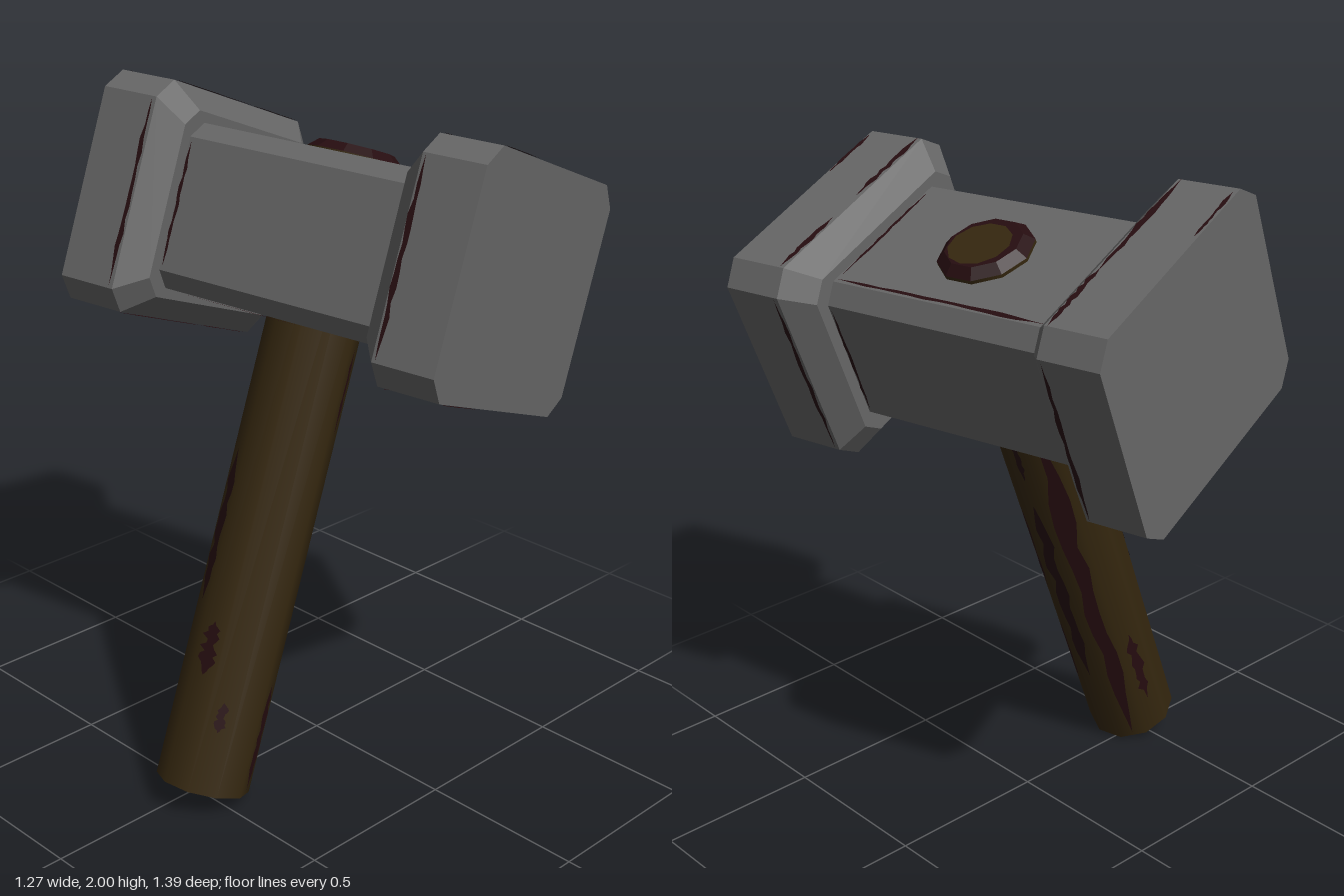
import * as THREE from 'three';

const V = (x, y, z) => new THREE.Vector3(x, y, z);
const paint = (name, color, side = THREE.FrontSide) => {
  const m = new THREE.MeshStandardMaterial({ color, side });
  m.name = name;
  return m;
};

// Loft through chamfered rectangles: each section is [halfWidth, halfHeight, chamfer, z], z ascending
function loft(sections) {
  const pos = [];
  const rings = sections.map(([w, h, c, z]) => [
    [w, -h + c], [w, h - c], [w - c, h], [-w + c, h],
    [-w, h - c], [-w, -h + c], [-w + c, -h], [w - c, -h],
  ].map(([x, y]) => [x, y, z]));
  const tri = (a, b, c) => pos.push(...a, ...b, ...c);
  for (let k = 0; k < rings.length - 1; k++) {
    for (let i = 0; i < 8; i++) {
      const j = (i + 1) % 8, a = rings[k], b = rings[k + 1];
      tri(a[i], a[j], b[j]);
      tri(a[i], b[j], b[i]);
    }
  }
  const first = rings[0], last = rings[rings.length - 1];
  for (let i = 1; i < 7; i++) {
    tri(first[0], first[i + 1], first[i]);
    tri(last[0], last[i], last[i + 1]);
  }
  const g = new THREE.BufferGeometry();
  g.setAttribute('position', new THREE.Float32BufferAttribute(pos, 3));
  g.computeVertexNormals();
  return g;
}

export function createModel() {
  const metal = paint('grey metal', 0x666666);
  const wood = paint('dark wood', 0x35270f);
  const wear = paint('maroon wear', 0x260d10, THREE.DoubleSide);

  const root = new THREE.Group();
  root.name = 'hammer';
  const add = (name, geo, mat, parent = root) => {
    const m = new THREE.Mesh(geo, mat);
    m.name = name;
    parent.add(m);
    return m;
  };

  let seed = 7;
  const rand = () => (seed = (seed * 16807) % 2147483647) / 2147483647;

  // Jagged thin streak from a to b, spreading along the given side direction
  const streak = (name, a, b, side, width) => {
    const n = 14, pos = [], idx = [];
    for (let i = 0; i <= n; i++) {
      const t = i / n, taper = Math.min(1, 5 * t, 5 * (1 - t)) * width * 0.5;
      const p = a.clone().lerp(b, t);
      const l = p.clone().addScaledVector(side, taper * (0.3 + 0.7 * rand()));
      const r = p.clone().addScaledVector(side, -taper * (0.3 + 0.7 * rand()));
      pos.push(...l.toArray(), ...r.toArray());
      if (i < n) idx.push(2 * i, 2 * i + 1, 2 * i + 2, 2 * i + 1, 2 * i + 3, 2 * i + 2);
    }
    const g = new THREE.BufferGeometry();
    g.setAttribute('position', new THREE.Float32BufferAttribute(pos, 3));
    g.setIndex(idx);
    g.computeVertexNormals();
    // Normals face away from the part's own axis
    const nrm = g.attributes.normal, q = V(0, 0, 0).crossVectors(b.clone().sub(a), side);
    const out = a.clone().add(b).multiplyScalar(0.5);
    if (V(nrm.getX(6), nrm.getY(6), nrm.getZ(6)).dot(out) < 0 && q.length() > 0) {
      g.setIndex(idx.map((_, k) => idx[k - (k % 3) + 2 - (k % 3)]));
      g.computeVertexNormals();
    }
    return add(name, g, wear);
  };

  // Handle, ten sided with smooth sides
  const R = 0.138, bottom = -0.138, top = 1.73, sides = 10;
  const handle = add('handle', new THREE.CylinderGeometry(R, R, top - bottom, sides), wood);
  handle.position.y = (top + bottom) / 2;

  // Bevelled handle end showing above the head
  const knob = add('handleEndRim', new THREE.CylinderGeometry(0.11, R, 0.025, sides).toNonIndexed(), wear);
  knob.geometry.computeVertexNormals();
  knob.position.y = top + 0.0125;
  const end = add('handleEndWood', new THREE.CircleGeometry(0.092, 11), wood);
  end.rotation.x = -Math.PI / 2;
  end.position.set(0.01, top + 0.028, 0.005);

  // Streaks on the handle: [facet, start, finish, width]
  const grain = [
    [0, -0.12, 0.2, 0.06], [0, 0.95, 1.2, 0.03], [1, 0.08, 0.36, 0.04], [1, 0.5, 0.85, 0.045],
    [2, 0.15, 0.9, 0.065], [2, 1.0, 1.22, 0.03], [3, -0.12, 1.2, 0.075], [4, 0.0, 0.3, 0.05],
    [5, 0.8, 1.1, 0.04], [6, 0.4, 0.85, 0.065], [7, 0.2, 0.36, 0.07], [8, 0.05, 0.14, 0.04],
  ];
  for (const [f, y0, y1, w] of grain) {
    const a = (f + 0.5) * 2 * Math.PI / sides, r = R * Math.cos(Math.PI / sides) + 0.003;
    const x = Math.sin(a) * r, z = Math.cos(a) * r;
    streak('handleStreak', V(x, y0, z), V(x, y1, z), V(Math.cos(a), 0, -Math.sin(a)), w);
  }

  // Head: chamfered neck with a mirrored striking block at each end
  const headY = 1.48;
  const head = new THREE.Group();
  head.name = 'head';
  head.position.y = headY;
  root.add(head);
  add('headNeck', loft([[0.28, 0.24, 0.048, -0.39], [0.28, 0.24, 0.048, 0.39]]), metal, head);
  const block = [[0.315, 0.27, 0.05, 0.37], [0.38, 0.335, 0.06, 0.44], [0.38, 0.335, 0.06, 0.63]];
  add('frontBlock', loft(block), metal, head);
  add('backBlock', loft(block.map(([w, h, c, z]) => [w, h, c, -z]).reverse()), metal, head);

  // Worn edges around both blocks, where the side meets the inner bevel
  const e = 0.003;
  for (const s of [1, -1]) {
    const z = s * 0.452, along = V(0, 0, 1);
    for (const d of [1, -1]) {
      const y = headY + d * (0.335 + e), x = d * (0.38 + e);
      streak('blockEdgeWear', V(-0.32, y, z), V(s > 0 ? -0.02 : 0.1, y, z), along, 0.024);
      streak('blockEdgeWear', V(0.08, y, z), V(0.32, y, z), along, 0.024);
      streak('blockEdgeWear', V(x, headY - 0.27, z), V(x, headY + 0.27, z), along, 0.022);
      streak('blockRimWear', V(-0.3, y, s * 0.621), V(-0.1, y, s * 0.621), along, 0.016);
    }
  }

  // Worn edges along the neck and where it meets the blocks
  streak('neckEdgeWear', V(0.222, headY + 0.243, -0.36), V(0.222, headY + 0.243, 0.36), V(1, 0, 0), 0.02);
  streak('neckEdgeWear', V(-0.225, headY - 0.243, -0.3), V(-0.225, headY - 0.243, 0.1), V(1, 0, 0), 0.018);
  for (const s of [1, -1]) {
    for (const d of [1, -1]) {
      streak('neckJointWear', V(d * 0.283, headY - 0.18, s * 0.36), V(d * 0.283, headY + 0.18, s * 0.36), V(0, 0, 1), 0.016);
    }
    streak('neckJointWear', V(-0.2, headY + 0.243, s * 0.36), V(0.2, headY + 0.243, s * 0.36), V(0, 0, 1), 0.014);
  }

  // Lean the whole hammer
  const up = V(0.364, 0.931, -0.033).normalize();
  const right = V(0, 0, 0).crossVectors(up, V(0.171, -0.032, 0.985)).normalize();
  const front = V(0, 0, 0).crossVectors(right, up);
  root.quaternion.setFromRotationMatrix(new THREE.Matrix4().makeBasis(right, up, front));
  root.position.set(-0.461, 0.18, 0.039);

  const model = new THREE.Group();
  model.name = 'model';
  model.add(root);
  return model;
}
